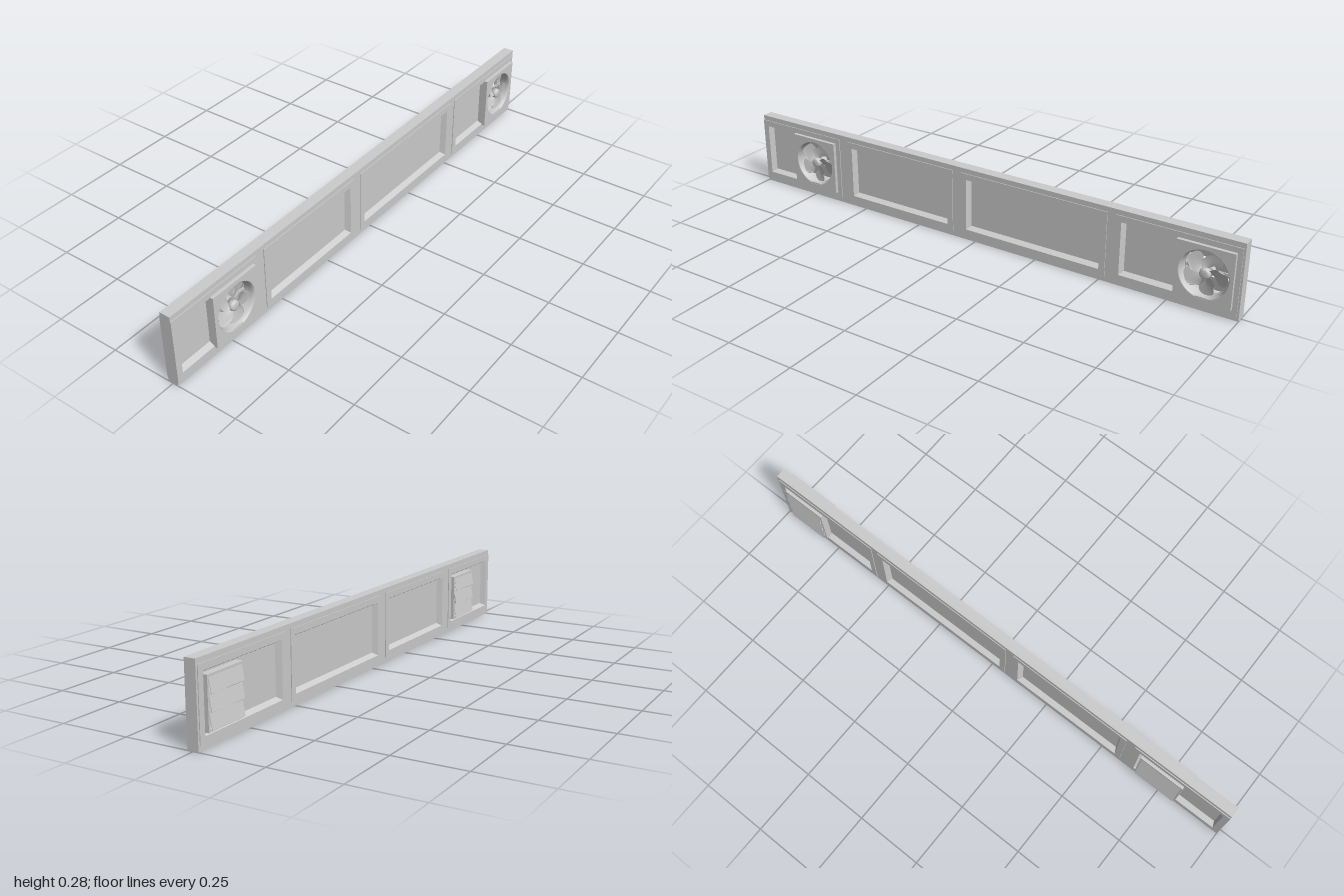
import * as THREE from 'three';

const H = 0.277, MID = 0.138, OPEN_H = 0.195;
// panel openings as [left, right]
const OPENINGS = [[-0.977, -0.638], [-0.556, -0.118], [-0.037, 0.5], [0.575, 0.97]];
const FANS = [-0.734, 0.876];

const mat = new THREE.MeshStandardMaterial({ color: 0xcccccc });
const flat = new THREE.MeshStandardMaterial({ color: 0xcccccc, flatShading: true });
const thin = new THREE.MeshStandardMaterial({ color: 0xcccccc, side: THREE.DoubleSide });

function add(parent, name, geo, x = 0, y = 0, z = 0, m = mat) {
  const mesh = new THREE.Mesh(geo, m);
  mesh.name = name;
  mesh.position.set(x, y, z);
  parent.add(mesh);
  return mesh;
}

function rectPath(cx, cy, w, h, P = THREE.Shape) {
  const a = w / 2, b = h / 2;
  return new P([[-a, -b], [a, -b], [a, b], [-a, b]].map(([x, y]) => new THREE.Vector2(cx + x, cy + y)));
}

function circlePath(cx, cy, r) {
  const p = new THREE.Path();
  p.absarc(cx, cy, r, 0, Math.PI * 2, true);
  return p;
}

const extrude = (shape, depth) =>
  new THREE.ExtrudeGeometry(shape, { depth, bevelEnabled: false, curveSegments: 24 });

// mitred rectangular moulding; profile lists [offset outward from opening, z]
function mouldingGeometry(w, h, profile) {
  const corners = [[-1, -1], [1, -1], [1, 1], [-1, 1]];
  const at = ([o, z], k) => {
    const [sx, sy] = corners[k % 4];
    return [sx * (w / 2 + o), sy * (h / 2 + o), z];
  };
  const pos = [];
  for (let i = 0; i < profile.length - 1; i++) {
    for (let k = 0; k < 4; k++) {
      const a = at(profile[i], k), b = at(profile[i], k + 1);
      const c = at(profile[i + 1], k + 1), d = at(profile[i + 1], k);
      pos.push(...a, ...b, ...c, ...a, ...c, ...d);
    }
  }
  const g = new THREE.BufferGeometry();
  g.setAttribute('position', new THREE.Float32BufferAttribute(pos, 3));
  g.computeVertexNormals();
  return g;
}

// swept, twisted blade, wide at the tip with rounded corners
function bladeGeometry() {
  const g = new THREE.PlaneGeometry(1, 1, 8, 8);
  const p = g.attributes.position;
  for (let i = 0; i < p.count; i++) {
    const u = p.getX(i), t = p.getY(i) + 0.5;
    const r = 0.014 + t * (0.064 - 0.022 * Math.pow(Math.abs(2 * u), 4) * t);
    const angle = u * (0.75 + 0.4 * Math.sin(t * Math.PI * 0.75)) - 0.5 * t;
    p.setXYZ(i, r * Math.cos(angle), r * Math.sin(angle), u * (0.012 + 0.006 * t));
  }
  g.computeVertexNormals();
  return g;
}

function createFan() {
  const fan = new THREE.Group();
  fan.name = 'ventilationFan';

  // square front housing with a flared round mouth
  const plate = rectPath(0, 0, 0.2, 0.202);
  plate.holes.push(circlePath(0, 0, 0.087));
  add(fan, 'fanHousing', extrude(plate, 0.032), 0, 0, 0.0045);
  const mouth = [[0.09, 0.0365], [0.088, 0.0385], [0.085, 0.036], [0.081, 0.026], [0.08, 0.002]]
    .map(([r, z]) => new THREE.Vector2(r, z));
  add(fan, 'fanMouth', new THREE.LatheGeometry(mouth, 40).rotateX(Math.PI / 2), 0, 0, -0.001, thin);

  // rotor
  const rotor = new THREE.Group();
  rotor.name = 'rotor';
  rotor.position.z = 0.02;
  const blade = bladeGeometry();
  for (let i = 0; i < 5; i++) {
    add(rotor, 'blade', blade, 0, 0, 0, thin).rotation.z = Math.PI / 2 + (i * Math.PI * 2) / 5;
  }
  const hub = [[0, 0.014], [0.012, 0.014], [0.017, 0.011], [0.019, 0.005], [0.019, -0.012], [0, -0.012]]
    .reverse().map(([r, z]) => new THREE.Vector2(r, z));
  add(rotor, 'hub', new THREE.LatheGeometry(hub, 24).rotateX(Math.PI / 2));
  fan.add(rotor);
  add(fan, 'switchBox', new THREE.BoxGeometry(0.045, 0.014, 0.006), 0, -0.088, 0.0335);

  // motor and its bracket behind the rotor
  add(fan, 'motor', new THREE.CylinderGeometry(0.022, 0.022, 0.02, 20).rotateX(Math.PI / 2), 0, 0, -0.002);
  add(fan, 'motorBracket', new THREE.BoxGeometry(0.165, 0.01, 0.004), 0, 0, -0.006);

  // rear frame with three hanging shutter slats
  const rear = rectPath(0, -0.003, 0.172, 0.174);
  rear.holes.push(rectPath(0, -0.003, 0.156, 0.158, THREE.Path));
  add(fan, 'shutterFrame', extrude(rear, 0.025), 0, 0, -0.029);
  for (let i = 0; i < 3; i++) {
    const slat = add(fan, 'shutterSlat', new THREE.BoxGeometry(0.16, 0.05, 0.0015),
      0, 0.052 - i * 0.0555, -0.0325);
    slat.rotation.x = 0.18;
  }
  return fan;
}

export function createModel() {
  const model = new THREE.Group();
  model.name = 'transomWithFans';

  // long bar with four openings
  const bar = rectPath(0, H / 2, 2, H);
  for (const [l, r] of OPENINGS) bar.holes.push(rectPath((l + r) / 2, MID, r - l, OPEN_H, THREE.Path));
  add(model, 'frame', extrude(bar, 0.04), 0, 0, -0.019);

  // raised moulding with sloped reveal, on both faces of every opening
  const profile = [[0.023, 0.019], [0.023, 0.0228], [0, 0.0228], [-0.01, 0.003]];
  for (const [l, r] of OPENINGS) {
    const cx = (l + r) / 2, w = r - l;
    const geo = mouldingGeometry(w, OPEN_H, profile);
    add(model, 'frontMoulding', geo, cx, MID, 0.001, flat);
    add(model, 'backMoulding', geo, cx, MID, 0.001, flat).rotation.y = Math.PI;

    // pane, cut away behind a fan
    const pane = rectPath(cx, MID, w, OPEN_H);
    for (const x of FANS) {
      if (x > l && x < r) pane.holes.push(circlePath(x, MID, 0.08));
    }
    add(model, 'pane', extrude(pane, 0.006), 0, 0, -0.002);
  }

  for (const x of FANS) {
    const fan = createFan();
    fan.position.set(x, MID, 0);
    model.add(fan);
  }
  return model;
}
